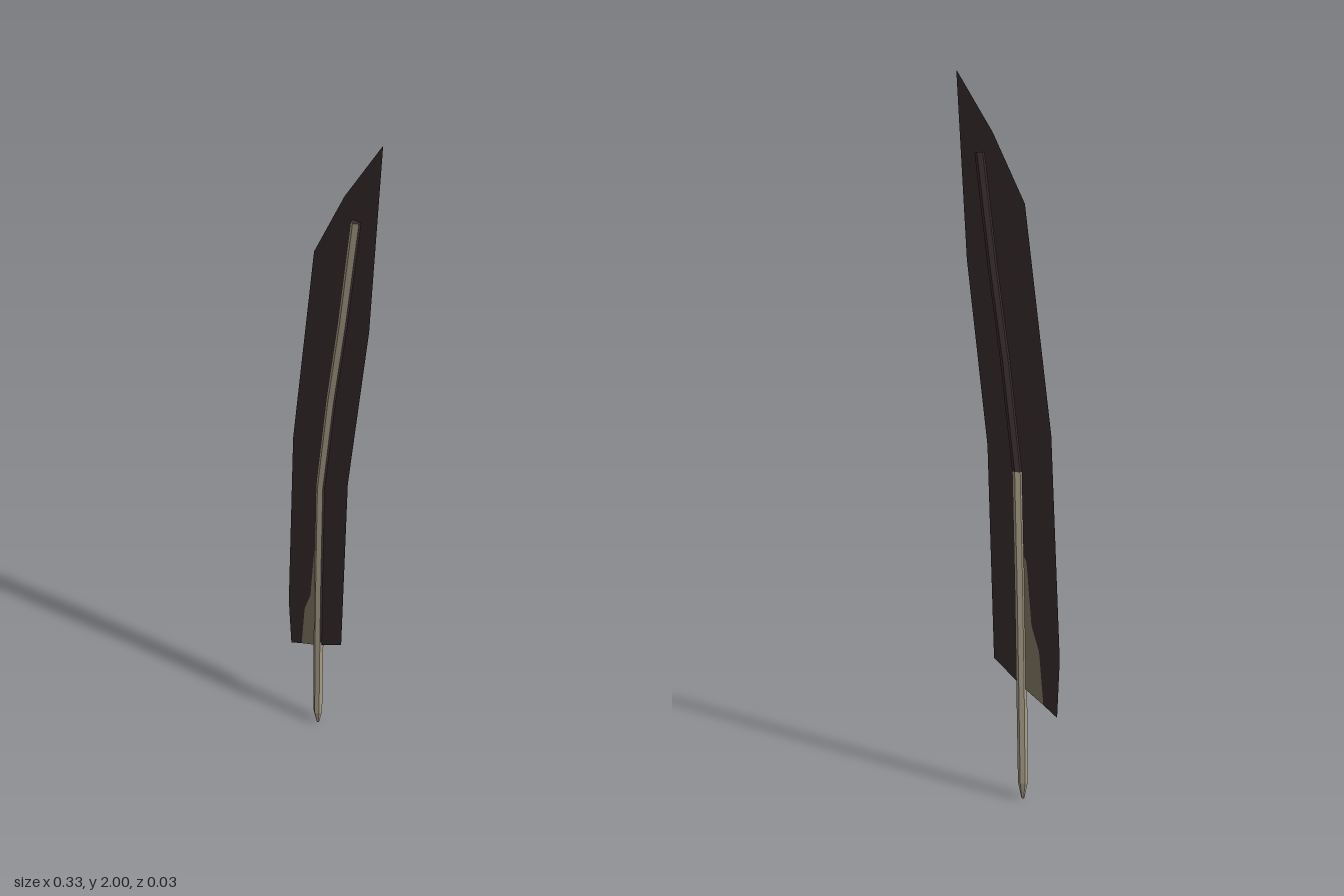
import * as THREE from 'three';

function flatPart(name, points, material) {
  const shape = new THREE.Shape(points.map(([x, y]) => new THREE.Vector2(x, y)));
  const mesh = new THREE.Mesh(new THREE.ShapeGeometry(shape), material);
  mesh.name = name;
  return mesh;
}

// Hexagonal tube along the curved quill; each side turns dark above its own height.
function shaftGeometry(rings, darkFrom) {
  const sides = 6;
  const point = ([x, y, r], j) => {
    const a = (-30 + 60 * j) * Math.PI / 180;
    return [x + r * Math.cos(a), y, r * Math.sin(a)];
  };
  const buckets = [[], []]; // pale faces, dark faces
  for (let i = 0; i < rings.length - 1; i++) {
    for (let j = 0; j < sides; j++) {
      const a = point(rings[i], j), b = point(rings[i], j + 1);
      const c = point(rings[i + 1], j), d = point(rings[i + 1], j + 1);
      const dark = rings[i][1] >= darkFrom[j] ? 1 : 0;
      buckets[dark].push(...b, ...a, ...c, ...b, ...c, ...d);
    }
  }
  // End caps
  const first = rings[0], last = rings[rings.length - 1];
  for (let j = 0; j < sides; j++) {
    buckets[0].push(first[0], first[1], 0, ...point(first, j), ...point(first, j + 1));
    buckets[1].push(last[0], last[1], 0, ...point(last, j + 1), ...point(last, j));
  }
  const geometry = new THREE.BufferGeometry();
  geometry.setAttribute('position', new THREE.Float32BufferAttribute(buckets.flat(), 3));
  geometry.addGroup(0, buckets[0].length / 3, 0);
  geometry.addGroup(buckets[0].length / 3, buckets[1].length / 3, 1);
  geometry.computeVertexNormals();
  return geometry;
}

export function createModel() {
  const vaneBrown = new THREE.MeshStandardMaterial({ color: 0x3a2f31, side: THREE.DoubleSide });
  vaneBrown.name = 'vaneBrown';
  const quillCream = new THREE.MeshStandardMaterial({ color: 0xa89e88 });
  quillCream.name = 'quillCream';
  const downOlive = new THREE.MeshStandardMaterial({ color: 0x877e66, side: THREE.DoubleSide });
  downOlive.name = 'downOlive';

  const group = new THREE.Group();
  group.name = 'feather';

  // Pale down beside the quill, shared edge with the vane
  const downEdge = [
    [-0.115, 0.297], [-0.1, 0.45], [-0.075, 0.52],
    [-0.058, 0.7], [-0.045, 0.72], [-0.045, 0.336],
  ];
  group.add(flatPart('down', downEdge, downOlive));

  // Broad dark vane
  group.add(flatPart('vane', [
    [-0.16, 0.27], ...downEdge, [0.05, 0.4], [0.07, 1.01], [0.135, 1.51],
    [0.165, 2], [0.05, 1.84], [-0.05, 1.66], [-0.135, 1.06], [-0.167, 0.44],
  ], vaneBrown));

  // Quill: x, y, radius from the pointed nib to the blunt top
  const rings = [
    [-0.048, 0, 0.004], [-0.048, 0.05, 0.014], [-0.043, 0.36, 0.015], [-0.037, 0.65, 0.015],
    [-0.029, 0.95, 0.015], [0.01, 1.25, 0.015], [0.05, 1.5, 0.015], [0.09, 1.79, 0.015],
  ];
  const never = Infinity;
  const shaft = new THREE.Mesh(
    shaftGeometry(rings, [0.36, never, never, 0.95, 0.95, 0.95]),
    [quillCream, vaneBrown],
  );
  shaft.name = 'quill';
  group.add(shaft);

  return group;
}
